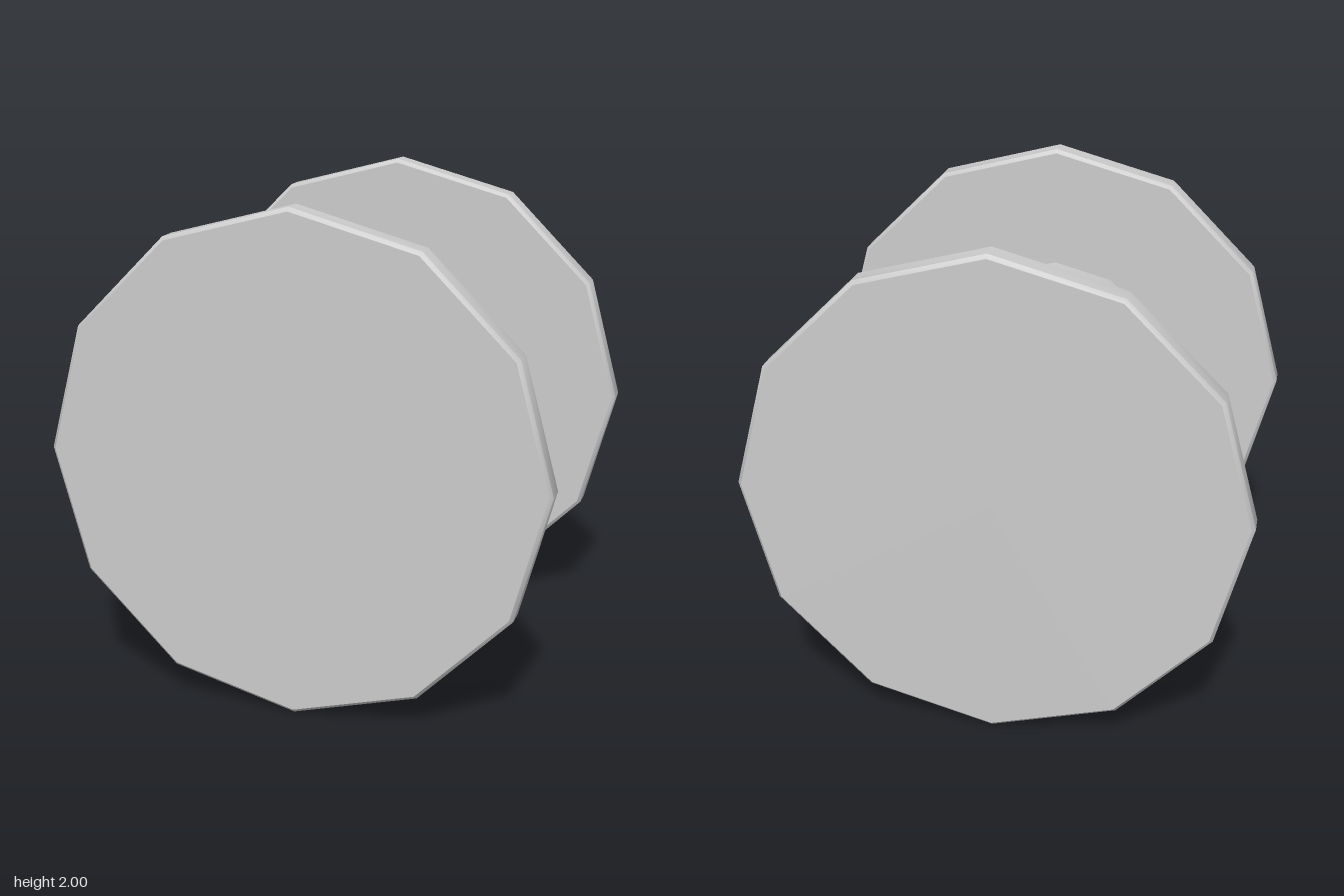
import * as THREE from 'three';
import { toCreasedNormals } from 'three/addons/utils/BufferGeometryUtils.js';

const SIDES = 12;
const RADIUS = 1;
const CORE_RADIUS = 0.493;
const OUTER_Z = 0.753;
const INNER_Z = 0.643;
const BEVEL = 0.015;

export function createModel() {
  const group = new THREE.Group();
  group.name = 'spool';
  const material = new THREE.MeshStandardMaterial({ color: 0xcccccc });

  // Twelve-sided disc with chamfered rims, axis along z
  const half = (OUTER_Z - INNER_Z) / 2;
  const profile = [
    [0, -half],
    [RADIUS - BEVEL, -half],
    [RADIUS, -half + BEVEL],
    [RADIUS, half - BEVEL],
    [RADIUS - BEVEL, half],
    [0, half],
  ].map(([r, y]) => new THREE.Vector2(r, y));
  const lathe = new THREE.LatheGeometry(profile, SIDES).rotateX(Math.PI / 2);
  const flangeGeometry = toCreasedNormals(lathe, THREE.MathUtils.degToRad(35));

  // Front and back flanges
  for (const [name, side] of [['frontFlange', 1], ['backFlange', -1]]) {
    const flange = new THREE.Mesh(flangeGeometry, material);
    flange.name = name;
    flange.position.set(0, RADIUS, side * (OUTER_Z - half));
    group.add(flange);
  }

  // Core between the flanges; its ends meet the discs
  const coreGeometry = new THREE.CylinderGeometry(CORE_RADIUS, CORE_RADIUS, INNER_Z * 2, SIDES, 1, true);
  const core = new THREE.Mesh(coreGeometry.rotateX(Math.PI / 2), material);
  core.name = 'core';
  core.position.y = RADIUS;
  group.add(core);

  return group;
}
